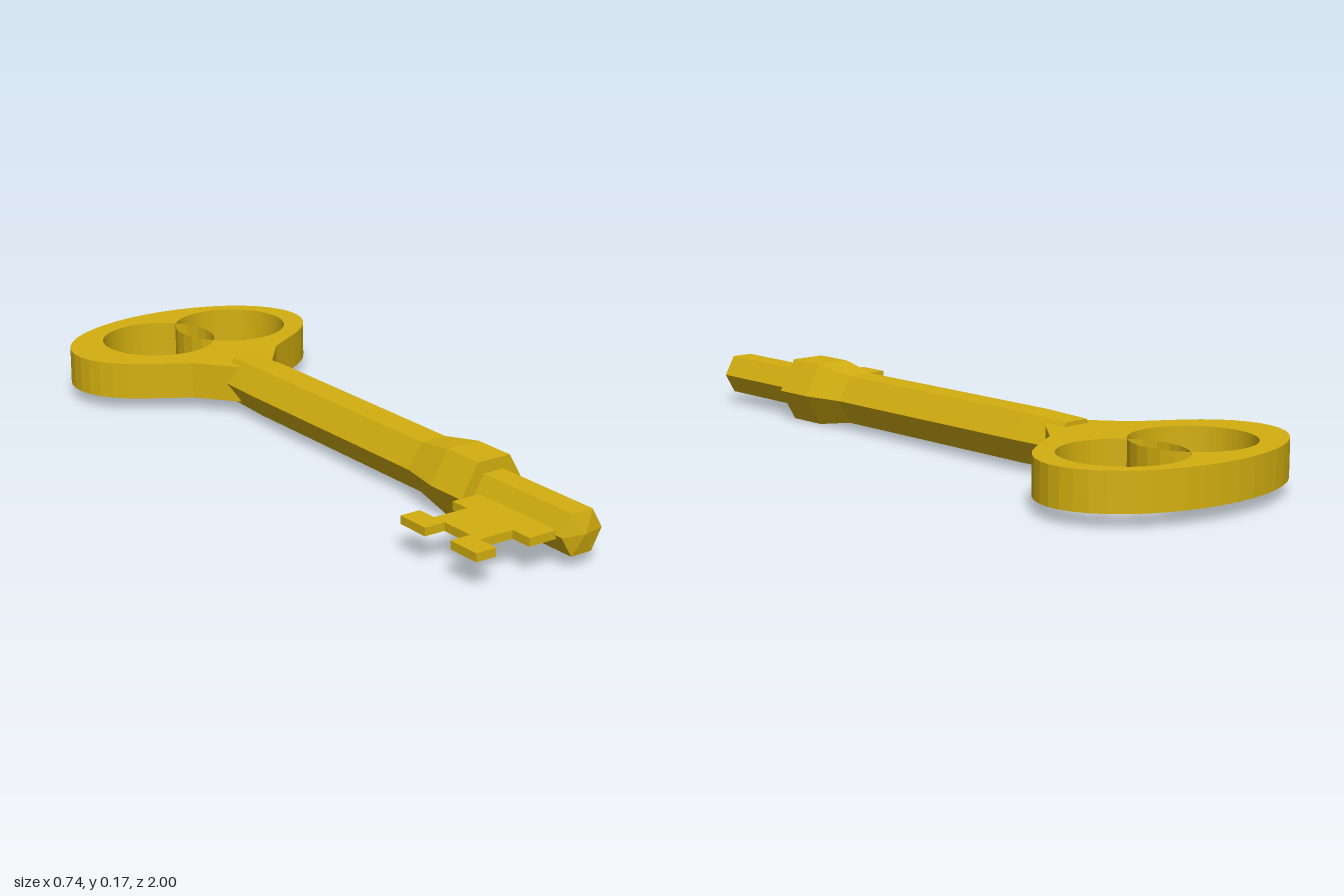
import * as THREE from 'three';

export function createModel() {
  const group = new THREE.Group();
  const brass = new THREE.MeshStandardMaterial({ color: 0xd4b010, flatShading: true, side: THREE.DoubleSide });
  brass.name = 'brass';

  const add = (name, geometry, x = 0, y = 0, z = 0) => {
    const mesh = new THREE.Mesh(geometry, brass);
    mesh.name = name;
    mesh.position.set(x, y, z);
    group.add(mesh);
  };
  // Flat plate drawn in x/z, hanging down from its top face
  const plate = (shape, depth) =>
    new THREE.ExtrudeGeometry(shape, { depth, bevelEnabled: false, curveSegments: 26 }).rotateX(Math.PI / 2);

  // Six-sided shaft, collar and pointed tip: [radius, z]
  const profile = [
    [0, -0.45], [0.072, -0.45], [0.077, -0.3], [0.077, 0.42], [0.1, 0.54],
    [0.1, 0.66], [0.062, 0.66], [0.062, 0.985], [0, 1],
  ].map(([r, z]) => new THREE.Vector2(r, z));
  add('shaft', new THREE.LatheGeometry(profile, 6, Math.PI / 2).rotateX(Math.PI / 2), -0.006, 0.089, 0);

  // Bow outline: oval running into a tapered neck
  const bow = new THREE.Shape();
  const start = Math.PI - 0.8, steps = 32;
  for (let i = 0; i <= steps; i++) {
    const t = start + (i / steps) * (Math.PI + 1.6);
    const x = 0.373 * Math.cos(t), z = -0.755 + 0.245 * Math.sin(t);
    if (i) bow.lineTo(x, z); else bow.moveTo(x, z);
  }
  [[0.143, -0.507], [0.06, -0.405], [0.042, -0.394], [-0.042, -0.394], [-0.06, -0.405], [-0.143, -0.507]]
    .forEach(([x, z]) => bow.lineTo(x, z));
  bow.closePath();

  // Two overlapping round openings joined into one
  const r = 0.162, left = 0.147, right = -0.099, cz = -0.762, top = 0.14, bottom = 0.038;
  const a = Math.acos((left - right) / 2 / r);
  const opening = new THREE.Path();
  opening.absarc(right, cz, r, a, 2 * Math.PI - a, false);
  opening.absarc(left, cz, r, Math.PI + a, 3 * Math.PI - a, false);
  bow.holes.push(opening);
  add('bow', plate(bow, top - bottom), 0, top, 0);

  // Curved walls crossing where the openings overlap
  const wall = (theta) => new THREE.CylinderGeometry(r, r, top - bottom, 6, 1, true, theta - a, 2 * a);
  add('rightOpeningWall', wall(Math.PI / 2), right, (top + bottom) / 2, cz);
  add('leftOpeningWall', wall(-Math.PI / 2), left, (top + bottom) / 2, cz);

  // Floor partly closing the right opening
  const floor = new THREE.Shape();
  floor.absarc(right, cz, r, -a, Math.PI + 0.06, false);
  floor.closePath();
  add('openingFloor', new THREE.ShapeGeometry(floor, 28).rotateX(Math.PI / 2), 0, bottom, 0);

  // Notched bit
  const bit = new THREE.Shape([
    [-0.03, 0.675], [-0.145, 0.675], [-0.145, 0.73], [-0.244, 0.73], [-0.244, 0.675], [-0.302, 0.675],
    [-0.302, 0.77], [-0.244, 0.77], [-0.244, 0.865], [-0.302, 0.865], [-0.302, 0.96], [-0.244, 0.96],
    [-0.244, 0.9], [-0.145, 0.9], [-0.145, 0.96], [-0.03, 0.96],
  ].map(([x, z]) => new THREE.Vector2(x, z)));
  add('bit', plate(bit, 0.022), 0, 0.1, 0);

  return group;
}
